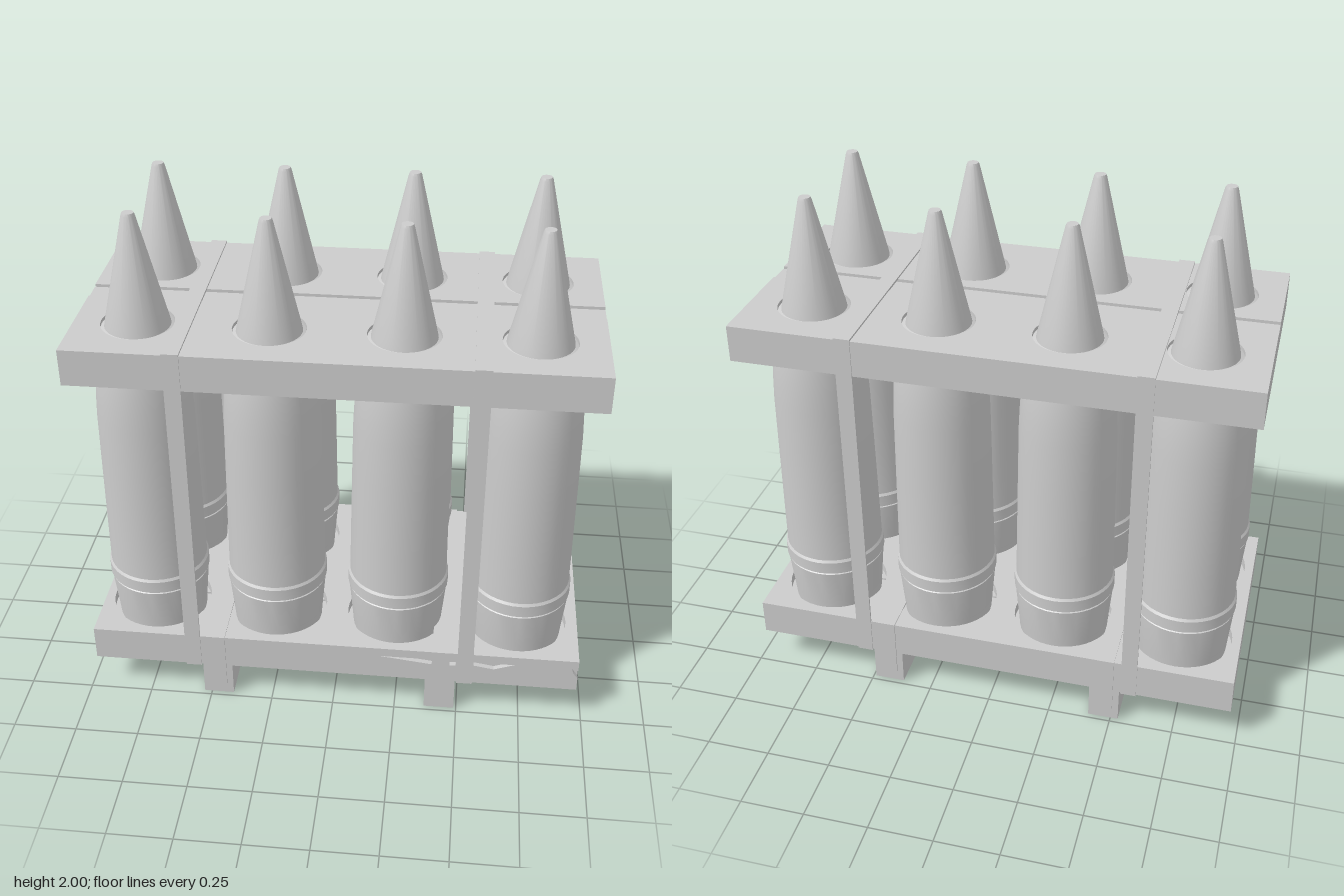
import * as THREE from 'three';
import { toCreasedNormals } from 'three/addons/utils/BufferGeometryUtils.js';

const material = new THREE.MeshStandardMaterial({ color: 0xcccccc });
const shellX = [-0.735, -0.25, 0.24, 0.725];
const shellZ = [-0.24, 0.24];
const HALF_X = 0.97, HALF_Z = 0.48;

function add(parent, name, geometry, x = 0, y = 0, z = 0) {
  const mesh = new THREE.Mesh(geometry, material);
  mesh.name = name;
  mesh.position.set(x, y, z);
  parent.add(mesh);
  return mesh;
}

// Box given by its limits on each axis
function box(parent, name, [x0, x1], [y0, y1], [z0, z1]) {
  return add(parent, name, new THREE.BoxGeometry(x1 - x0, y1 - y0, z1 - z0),
    (x0 + x1) / 2, (y0 + y1) / 2, (z0 + z1) / 2);
}

function polygon(points, Type = THREE.Shape) {
  return new Type(points.map(([x, y]) => new THREE.Vector2(x, y)));
}

// Horizontal board from z0 to z1 with a round hole for each shell inside it
function board(parent, name, y0, y1, z0, z1, radius) {
  const shape = polygon([[-HALF_X, -z1], [HALF_X, -z1], [HALF_X, -z0], [-HALF_X, -z0]]);
  for (const z of shellZ) {
    if (z < z0 || z > z1) continue;
    for (const x of shellX) {
      const hole = new THREE.Path();
      hole.absarc(x, -z, radius, 0, Math.PI * 2, true);
      shape.holes.push(hole);
    }
  }
  const geometry = new THREE.ExtrudeGeometry(shape, { depth: y1 - y0, bevelEnabled: false, curveSegments: 24 });
  geometry.rotateX(-Math.PI / 2);
  add(parent, name, toCreasedNormals(geometry, 0.6), 0, y0, 0);
}

export function createModel() {
  const model = new THREE.Group();
  model.name = 'shellPallet';

  // Shells: tapered base, driving band, body, ogive and pointed nose plug
  const profile = [
    [0, 0.25], [0.178, 0.25], [0.182, 0.3], [0.196, 0.455], [0.192, 0.458], [0.192, 0.463],
    [0.2, 0.466], [0.2, 0.515], [0.193, 0.525], [0.191, 0.7], [0.187, 1.0], [0.184, 1.2],
    [0.18, 1.28], [0.174, 1.36], [0.164, 1.43], [0.153, 1.49], [0.135, 1.56],
    [0.122, 1.565], [0.118, 1.585], [0.025, 1.99], [0.021, 2], [0, 2],
  ].map(([r, y]) => new THREE.Vector2(r, y));
  const shellGeometry = toCreasedNormals(new THREE.LatheGeometry(profile, 40), 0.4);
  const shells = new THREE.Group();
  shells.name = 'shells';
  for (const z of shellZ) for (const x of shellX) add(shells, 'shell', shellGeometry, x, 0, z);
  model.add(shells);

  // Base: planks below a drilled deck
  const base = new THREE.Group();
  base.name = 'base';
  const gap = 0.004;
  const plankEdges = [-HALF_Z, -0.16, 0.16, 0.46];
  for (let i = 0; i < 3; i++) {
    box(base, 'basePlank', [-HALF_X, HALF_X], [0.145, 0.25],
      [plankEdges[i] + (i ? gap : 0), plankEdges[i + 1] - (i < 2 ? gap : 0)]);
  }
  board(base, 'deck', 0.25, 0.29, -HALF_Z, 0.46, 0.2);

  // Front edge board with a long splintered crack and a chipped end
  const edge = polygon([[-HALF_X, 0.145], [HALF_X, 0.145], [HALF_X, 0.205], [0.955, 0.225],
    [0.945, 0.25], [HALF_X, 0.245], [HALF_X, 0.29], [-HALF_X, 0.29]]);
  edge.holes.push(
    polygon([[0.18, 0.252], [0.4, 0.252], [0.4, 0.226]], THREE.Path),
    polygon([[0.46, 0.228], [0.46, 0.252], [0.49, 0.252], [0.49, 0.228]], THREE.Path),
    polygon([[0.56, 0.235], [0.56, 0.252], [0.72, 0.252], [0.64, 0.222]], THREE.Path));
  add(base, 'frontEdgeBoard',
    new THREE.ExtrudeGeometry(edge, { depth: 0.02, bevelEnabled: false }), 0, 0, 0.46);

  // Runners with thin metal bands folded over the deck
  for (const x of [-0.47, 0.43]) {
    box(base, 'runner', [x - 0.06, x + 0.06], [0, 0.145], [-HALF_Z, HALF_Z]);
    box(base, 'runnerBandTop', [x - 0.035, x + 0.035], [0.288, 0.294], [-0.485, 0.485]);
    for (const s of [-1, 1]) {
      const z = s * 0.481;
      box(base, 'runnerBandSide', [x - 0.035, x + 0.035], [0.05, 0.294], [z - 0.004, z + 0.004]);
    }
  }
  model.add(base);

  // Top clamp: drilled lower layer, two outer boards and a centre strip
  const top = new THREE.Group();
  top.name = 'topClamp';
  board(top, 'clampLower', 1.43, 1.5, -HALF_Z, HALF_Z, 0.168);
  board(top, 'clampBoard', 1.5, 1.572, -HALF_Z, -0.05, 0.136);
  board(top, 'clampBoard', 1.5, 1.572, 0.05, HALF_Z, 0.136);
  box(top, 'centreStrip', [-HALF_X, HALF_X], [1.5, 1.565], [-0.041, 0.041]);
  model.add(top);

  // Straps: flat loops around the whole stack
  const loop = polygon([[-0.484, 0.141], [0.484, 0.141], [0.484, 1.579], [-0.484, 1.579]]);
  loop.holes.push(polygon([[-0.476, 0.148], [-0.476, 1.57], [0.476, 1.57], [0.476, 0.148]], THREE.Path));
  const strap = new THREE.ExtrudeGeometry(loop, { depth: 0.062, bevelEnabled: false });
  strap.translate(0, 0, -0.031).rotateY(Math.PI / 2);
  for (const x of [-0.566, 0.527]) add(model, 'strap', strap, x);

  return model;
}
